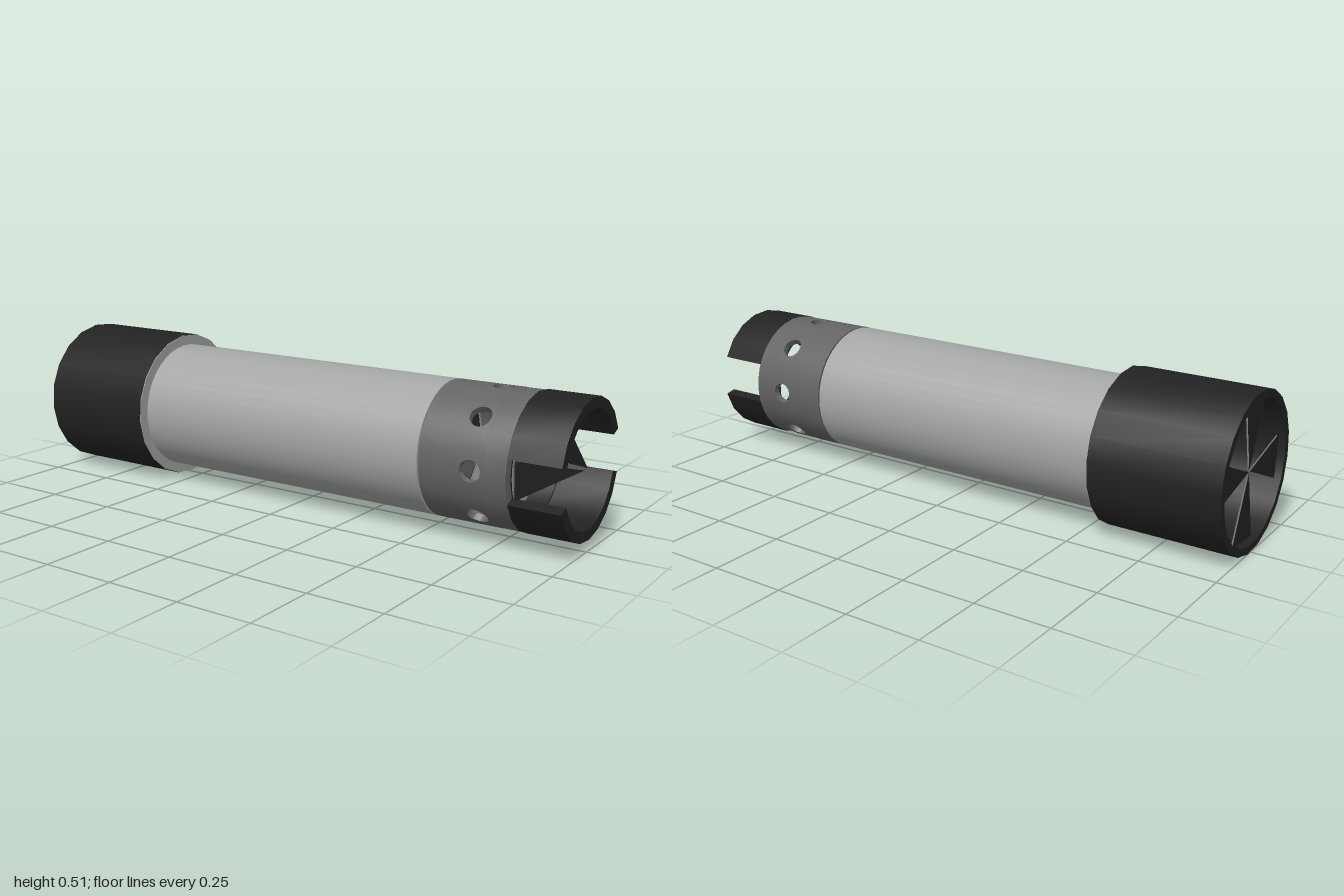
import * as THREE from 'three';
import { mergeGeometries, toCreasedNormals } from 'three/addons/utils/BufferGeometryUtils.js';

const CY = 0.258, DEG = Math.PI / 180, TURN = 4.5; // axis height, small roll of the whole tube

export function createModel() {
  const root = new THREE.Group();
  const mat = (name, color) => {
    const m = new THREE.MeshStandardMaterial({ color, side: THREE.DoubleSide });
    m.name = name;
    return m;
  };
  const light = mat('light grey', 0xa3a6a4);
  const grey = mat('dark grey', 0x646464);
  const black = mat('black', 0x222222);

  const add = (name, geo, material) => {
    const m = new THREE.Mesh(geo, material);
    m.name = name;
    m.position.y = CY;
    root.add(m);
    return m;
  };

  // Ring or arc of wall r0..r1 between x0 and x1, angles counted from -z towards up
  const arc = (name, material, x0, x1, r0, r1, n, a0 = 0, a1 = 360) => {
    const full = a1 - a0 >= 360;
    const pts = (r) => Array.from({ length: n + 1 }, (_, i) => {
      const a = (a0 + TURN + (a1 - a0) * i / n) * DEG;
      return new THREE.Vector2(r * Math.cos(a), r * Math.sin(a));
    });
    const outer = pts(r1), inner = pts(r0);
    let shape;
    if (full) {
      outer.pop();
      inner.pop();
      shape = new THREE.Shape(outer);
      shape.holes.push(new THREE.Path(inner.reverse()));
    } else {
      shape = new THREE.Shape([...outer, ...inner.reverse()]);
    }
    const g = new THREE.ExtrudeGeometry(shape, { depth: x1 - x0, bevelEnabled: false });
    g.rotateY(Math.PI / 2).translate(x0, 0, 0);
    return add(name, toCreasedNormals(g, 0.5), material);
  };

  // Triangular fin from the wall (radius r, at xBase) to a tip at radius rt
  const fin = (name, material, angle, half, r, xBase, rt, xTip) => {
    const at = (x, rad, deg) => {
      const a = (deg + TURN) * DEG;
      return [x, rad * Math.sin(a), -rad * Math.cos(a)];
    };
    const g = new THREE.BufferGeometry();
    g.setAttribute('position', new THREE.Float32BufferAttribute([
      ...at(xBase, r, angle - half), ...at(xBase, r, angle + half), ...at(xTip, rt, angle)], 3));
    g.computeVertexNormals();
    return add(name, g, material);
  };

  // Grip sleeve with its light shoulder
  arc('gripSleeve', black, -1, -0.566, 0.232, 0.257, 20);
  arc('gripShoulder', light, -0.567, -0.563, 0.2, 0.256, 20);

  // Main tube with dark bore
  arc('mainTube', light, -0.6, 0.533, 0.2, 0.22, 40);
  arc('tubeBore', black, -0.6, 0.532, 0.196, 0.2, 40);

  // Collar with eight round holes: patches running from the cell border to the hole,
  // through the wall and back along the inside
  const X0 = 0.539, X1 = 0.757, HX = 0.712, HR = 0.035, R = 0.22, RI = 0.198, SIDE = 10, ROWS = 4;
  const halfArc = R * Math.PI / 8;
  const corners = [[X0, -halfArc], [X1, -halfArc], [X1, halfArc], [X0, halfArc]];
  const patches = [];
  for (let k = 0; k < 8; k++) {
    const pos = [], idx = [], cols = SIDE * 4, rows = 2 * (ROWS + 1);
    for (let i = 0; i <= cols; i++) {
      const s = Math.floor(i / SIDE) % 4, t = (i % SIDE) / SIDE;
      const [ax, as] = corners[s], [bx, bs] = corners[(s + 1) % 4];
      const ex = ax + (bx - ax) * t, es = as + (bs - as) * t;
      const d = Math.atan2(es, ex - HX);
      const hx = HX + HR * Math.cos(d), hs = HR * Math.sin(d);
      for (let j = 0; j < rows; j++) {
        const outside = j <= ROWS;
        const v = outside ? j / ROWS : (rows - 1 - j) / ROWS;
        const rad = outside ? R : RI;
        const a = k * Math.PI / 4 + (es + (hs - es) * v) / R;
        pos.push(ex + (hx - ex) * v, rad * Math.sin(a), -rad * Math.cos(a));
      }
    }
    for (let i = 0; i < cols; i++) {
      for (let j = 0; j < rows - 1; j++) {
        const a = i * rows + j, b = a + rows;
        idx.push(a, b, a + 1, b, b + 1, a + 1);
      }
    }
    const g = new THREE.BufferGeometry();
    g.setAttribute('position', new THREE.Float32BufferAttribute(pos, 3));
    g.setIndex(idx);
    patches.push(g.toNonIndexed());
  }
  add('ventedCollar', toCreasedNormals(mergeGeometries(patches), 0.6), grey);
  for (const x of [X0, X1 - 0.002]) arc('collarRim', grey, x, x + 0.002, RI, R, 40);

  // Collar lip, open underneath, over a black inner liner
  arc('collarLip', grey, 0.757, 0.83, 0.187, 0.22, 28, -60, 240);
  arc('innerLiner', black, 0.757, 0.83, 0.18, 0.187, 32);

  // Muzzle shroud: two jaws leaving a notch on each side
  for (const a of [0, 180]) arc('shroudJaw', black, 0.83, 1, 0.187, 0.222, 8, a + 18.5, a + 161.5);

  // Side spikes meeting on the axis, and a short spike below
  for (const a of [0, 180]) fin('sideSpike', black, a, 18, 0.2, 0.845, 0.012, 0.985);
  fin('lowerSpike', black, 270, 20, 0.186, 0.845, 0.137, 0.9);

  // Flat vanes above and below inside the collar, one half darker
  for (const [a, b, m] of [[102, 12, light], [84, 6, grey], [260, 10, light], [279, 9, grey]]) {
    fin('collarVane', m, a, b, 0.196, 0.75, 0.004, 0.75);
  }

  // Four vanes in the grip end, light inside and black outside
  for (let k = 0; k < 4; k++) {
    fin('gripVaneInner', light, k * 90, 18, 0.235, -0.972, 0.004, -0.972);
    fin('gripVaneOuter', black, k * 90, 18, 0.235, -0.977, 0.004, -0.977);
  }
  return root;
}
